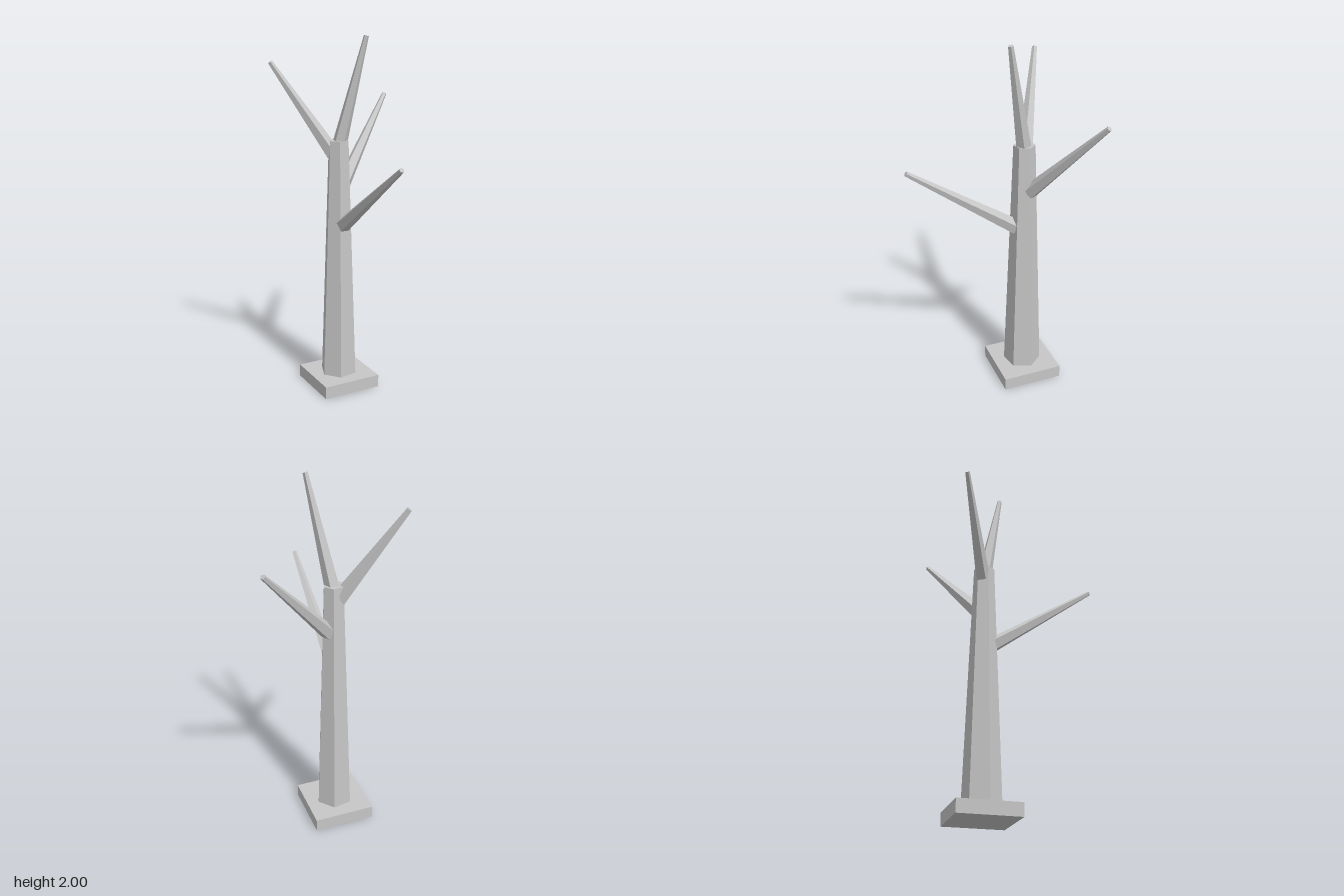
import * as THREE from 'three';

export function createModel() {
  const tree = new THREE.Group();
  tree.name = 'bareTree';
  const grey = new THREE.MeshStandardMaterial({ color: 0xc6c6c6 });
  grey.name = 'lightGrey';

  const add = (name, geometry, x, y, z) => {
    // Split the vertices so every facet keeps its own flat normal
    const flat = geometry.toNonIndexed();
    flat.computeVertexNormals();
    const mesh = new THREE.Mesh(flat, grey);
    mesh.name = name;
    mesh.position.set(x, y, z);
    tree.add(mesh);
    return mesh;
  };

  // Square plinth, turned about the trunk axis
  const cx = 0.017, cz = -0.108;
  add('base', new THREE.BoxGeometry(0.342, 0.072, 0.342), cx, 0.036, cz).rotation.y = 0.35;

  // Six-sided tapering trunk
  add('trunk', new THREE.CylinderGeometry(0.058, 0.106, 1.366, 6), cx, 0.755, cz);

  // Five-sided tapering branches, ridge upward: [name, foot, tip]
  const branches = [
    ['frontBranch', [0.034, 0.967, -0.063], [0.238, 1.38, 0.492]],
    ['backBranch', [0.045, 1.182, -0.14], [0.343, 1.65, -0.492]],
    ['sideBranch', [-0.012, 1.362, -0.113], [-0.345, 1.857, -0.174]],
    ['topBranch', [0.018, 1.4, -0.107], [0.152, 1.996, -0.03]],
  ];
  for (const [name, foot, tip] of branches) {
    const a = new THREE.Vector3(...foot);
    const d = new THREE.Vector3(...tip).sub(a);
    const length = d.length();
    const geometry = new THREE.CylinderGeometry(0.014, 0.043, length, 5, 1, false, Math.PI);
    geometry.translate(0, length / 2, 0);
    const mesh = add(name, geometry, a.x, a.y, a.z);
    mesh.rotation.set(Math.acos(d.y / length), Math.atan2(d.x, d.z), 0, 'YXZ');
  }

  return tree;
}
